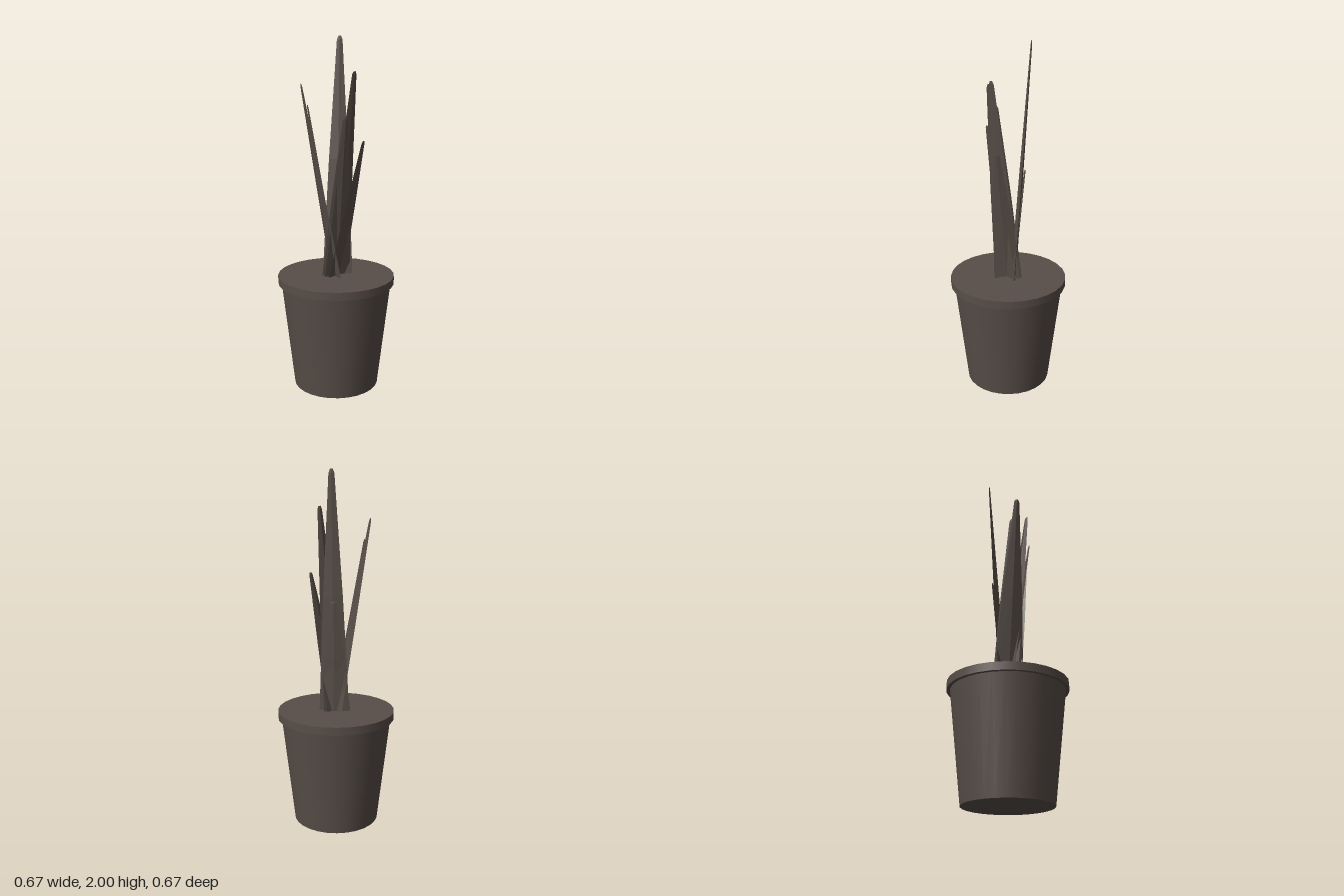
import * as THREE from 'three';

const brown = new THREE.MeshStandardMaterial({ color: 0x584e48 });
brown.name = 'dark brown';

// Pot wall, lip and flat soil surface; points are doubled at hard edges
function createPot() {
  const pot = new THREE.Group();
  pot.name = 'pot';
  const add = (name, radiusTop, radiusBottom, y0, y1) => {
    const geometry = new THREE.CylinderGeometry(radiusTop, radiusBottom, y1 - y0, 28);
    const mesh = new THREE.Mesh(geometry, brown);
    mesh.name = name;
    mesh.position.y = (y0 + y1) / 2;
    pot.add(mesh);
  };
  add('potBody', 0.317, 0.245, 0, 0.625);
  add('potRim', 0.335, 0.335, 0.615, 0.66);
  return pot;
}

// Stiff pointed leaf: a diamond section that tapers and leans from base to tip
const BASE_Y = 0.64;
const HEIGHTS = [0, 0.5, 0.985, 1];
const HALF_WIDTHS = [0.088, 0.056, 0.016, 0.008];
const HALF_DEPTHS = [0.016, 0.011, 0.004, 0.002];

function createLeaf([x, y, z], [baseX, baseZ] = [0, 0]) {
  const indexed = new THREE.CylinderGeometry(1, 1, 1, 4, 3);
  const position = indexed.attributes.position;
  const angle = Math.atan2(x, z);
  for (let i = 0; i < position.count; i++) {
    const ring = Math.round((position.getY(i) + 0.5) * 3);
    const t = HEIGHTS[ring];
    const across = position.getX(i) * HALF_WIDTHS[ring];
    const out = position.getZ(i) * HALF_DEPTHS[ring];
    position.setXYZ(
      i,
      THREE.MathUtils.lerp(baseX, x, t) + across * Math.cos(angle) + out * Math.sin(angle),
      THREE.MathUtils.lerp(BASE_Y, y, t),
      THREE.MathUtils.lerp(baseZ, z, t) - across * Math.sin(angle) + out * Math.cos(angle)
    );
  }
  const geometry = indexed.toNonIndexed();
  geometry.computeVertexNormals();
  const leaf = new THREE.Mesh(geometry, brown);
  leaf.name = 'leaf';
  return leaf;
}

export function createModel() {
  const model = new THREE.Group();
  model.name = 'pottedPlant';
  model.add(createPot());

  const leaves = new THREE.Group();
  leaves.name = 'leaves';
  leaves.add(
    createLeaf([-0.076, 2.0, -0.095], [-0.015, -0.025]),
    createLeaf([0.146, 1.81, 0]),
    createLeaf([-0.073, 1.745, 0.188]),
    createLeaf([-0.074, 1.63, 0.143]),
    createLeaf([0.127, 1.57, 0.045]),
    createLeaf([0.167, 1.44, -0.05]),
    createLeaf([-0.062, 1.3, -0.07], [-0.012, -0.015])
  );
  model.add(leaves);
  return model;
}
